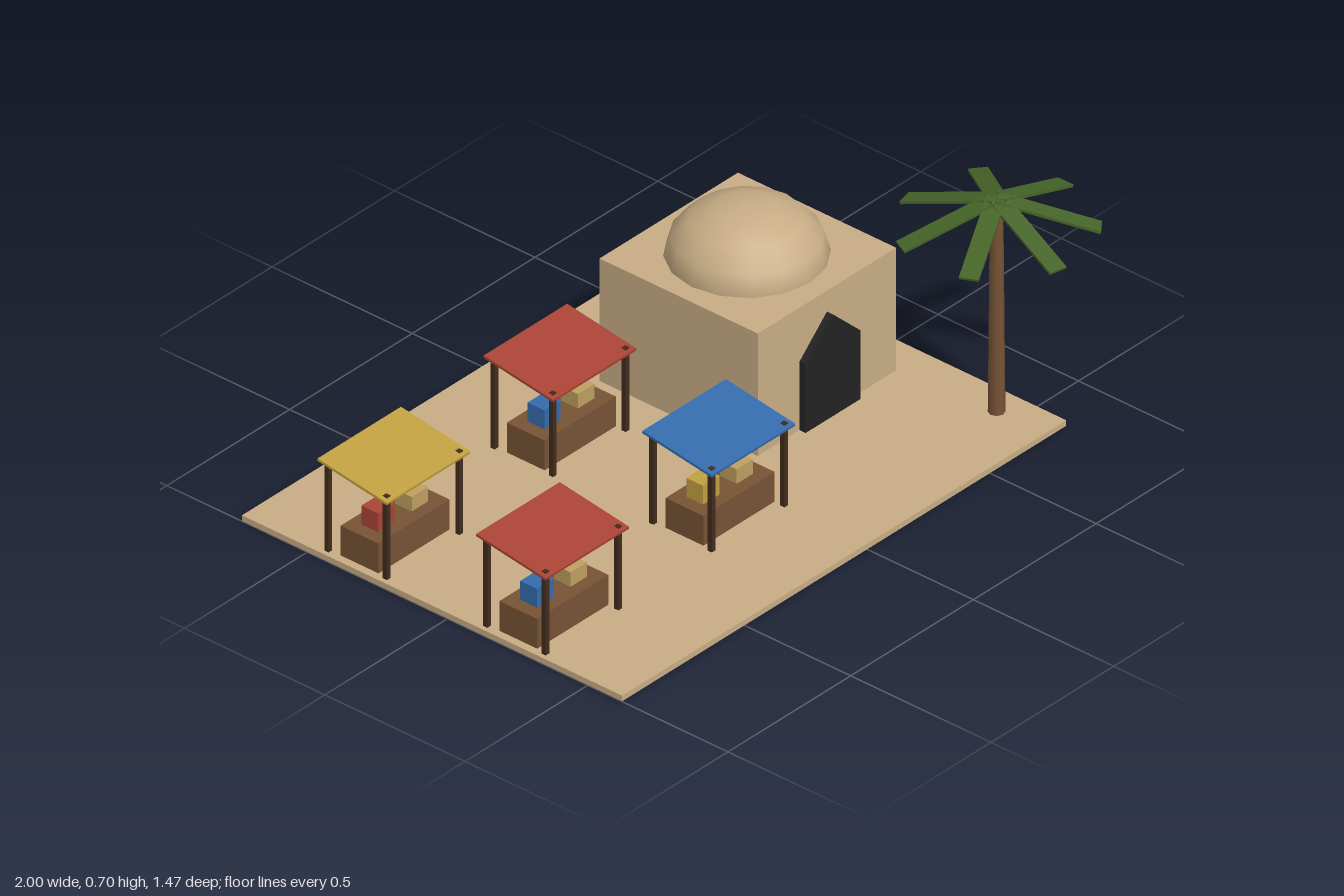
import * as THREE from 'three';

const paint = (name, color) => Object.assign(new THREE.MeshStandardMaterial({ color }), { name });
const sand = paint('sand', 0xc8ad85);
const shade = paint('doorway dark', 0x232323);
const red = paint('red cloth', 0xaa4436);
const blue = paint('blue cloth', 0x356bac);
const yellow = paint('yellow cloth', 0xc2a040);
const khaki = paint('khaki goods', 0xbea060);
const wood = paint('wood', 0x765335);
const darkWood = paint('dark wood', 0x402c1c);
const green = paint('palm green', 0x456428);

function add(parent, name, geometry, material, x = 0, y = 0, z = 0) {
  const mesh = new THREE.Mesh(geometry, material);
  mesh.name = name;
  mesh.position.set(x, y, z);
  parent.add(mesh);
  return mesh;
}

// Box given by its bottom centre
function box(parent, name, material, w, h, d, x, y, z) {
  return add(parent, name, new THREE.BoxGeometry(w, h, d), material, x, y + h / 2, z);
}

function group(parent, name, x = 0, z = 0) {
  const g = new THREE.Group();
  g.name = name;
  g.position.set(x, 0, z);
  parent.add(g);
  return g;
}

// Market stall: counter, four posts, sloping awning and two crates of goods
function stall(parent, x, z, cloth, goods) {
  const g = group(parent, 'marketStall', x, z);
  box(g, 'counter', wood, 0.29, 0.114, 0.135, 0, 0, 0.005);
  for (const sx of [-1, 1]) {
    box(g, 'frontPost', darkWood, 0.015, 0.283, 0.015, sx * 0.148, 0, 0.104);
    box(g, 'backPost', darkWood, 0.015, 0.304, 0.015, sx * 0.148, 0, -0.104);
  }
  const awning = add(g, 'awning', new THREE.BoxGeometry(0.34, 0.008, 0.25), cloth, 0, 0.2925, 0);
  awning.rotation.x = 0.15;
  box(g, 'tallCrate', goods, 0.067, 0.06, 0.06, -0.07, 0.114, 0.005);
  box(g, 'lowCrate', khaki, 0.067, 0.046, 0.06, 0.067, 0.114, 0.005);
}

// Square house with a low dome and a pointed doorway
function house(parent) {
  const g = group(parent, 'domedHouse', 0.414, -0.166);
  box(g, 'walls', sand, 0.564, 0.41, 0.564, 0, 0, 0);
  const dome = new THREE.SphereGeometry(0.226, 16, 4, 0, Math.PI * 2, 0, Math.PI / 2);
  add(g, 'dome', dome, sand, 0, 0.409, -0.003).scale.y = 0.7;

  const outline = new THREE.Shape([
    [-0.112, 0], [0.112, 0], [0.112, 0.238], [0, 0.343], [-0.112, 0.238],
  ].map(([px, py]) => new THREE.Vector2(px, py)));
  const arch = new THREE.ExtrudeGeometry(outline, { depth: 0.024, bevelEnabled: false });
  add(g, 'doorway', arch, shade, 0, 0, 0.28);
}

// Palm with a tapered trunk and seven drooping fronds
function palm(parent) {
  const g = group(parent, 'palmTree', 0.72, 0.453);
  add(g, 'trunk', new THREE.CylinderGeometry(0.018, 0.024, 0.7, 8), wood, 0, 0.35, 0);
  const frond = new THREE.BoxGeometry(0.294, 0.008, 0.055);
  frond.translate(0.147, 0, 0);
  frond.rotateZ(-0.3);
  for (let i = 0; i < 7; i++) {
    add(g, 'frond', frond, green, 0, 0.701, 0).rotation.y = (i * Math.PI * 2) / 7;
  }
}

export function createModel() {
  const model = new THREE.Group();
  model.name = 'desertMarket';
  box(model, 'ground', sand, 1.81, 0.018, 1.355, -0.095, 0.001, -0.055);
  house(model);
  palm(model);
  stall(model, -0.83, 0.226, red, blue);
  stall(model, -0.153, 0.226, blue, yellow);
  stall(model, -0.83, -0.34, yellow, red);
  stall(model, -0.153, -0.34, red, blue);
  return model;
}
